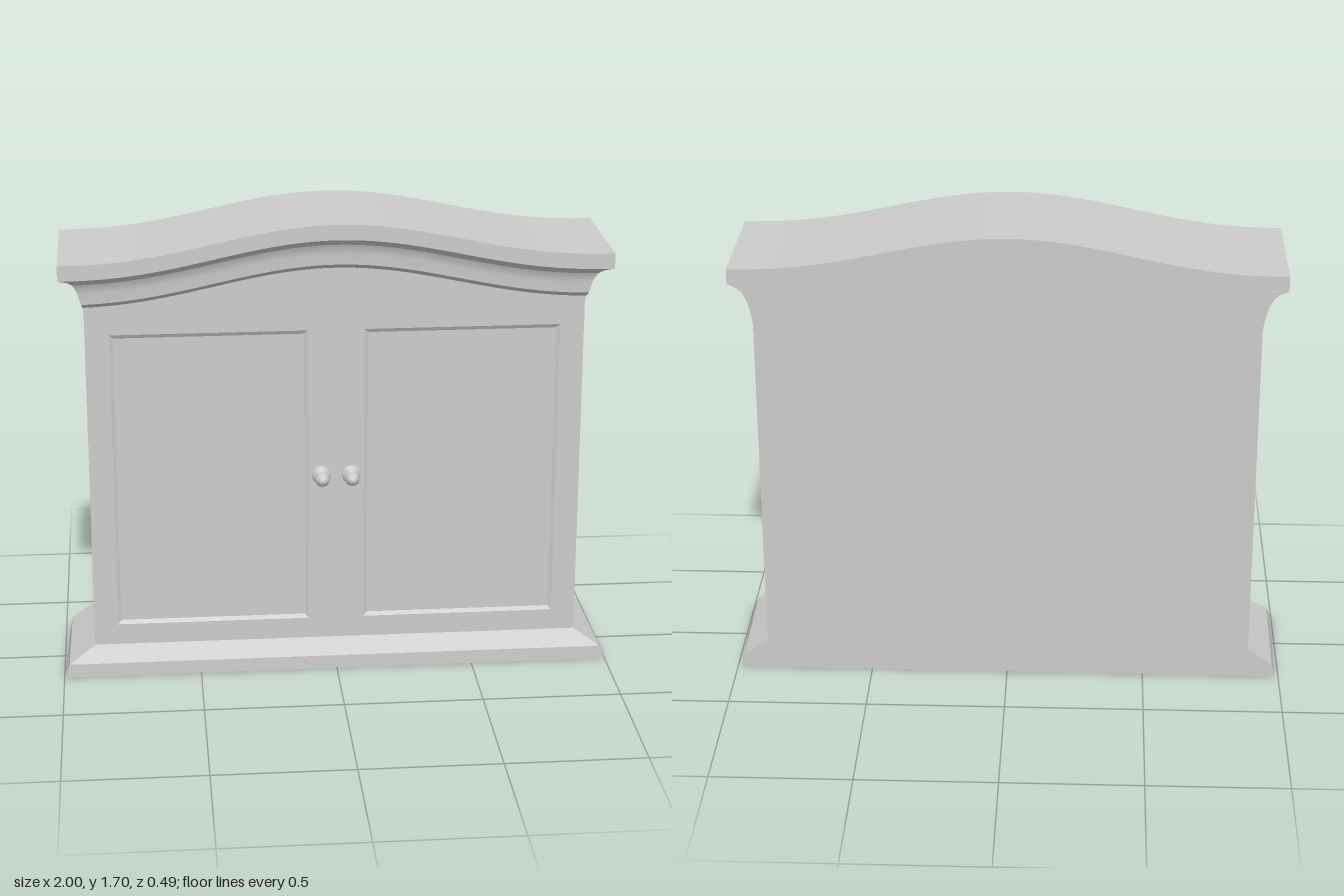
import * as THREE from 'three';
import { toCreasedNormals } from 'three/addons/utils/BufferGeometryUtils.js';

const BACK = -0.245, FRONT = 0.155, HALF = 0.885, CAP = 0.97, TOP = 1.575;
const material = new THREE.MeshStandardMaterial({ color: 0xcccccc });

// Bell-shaped rise of the arched top at a given x
function rise(x) {
  const t = Math.min(Math.abs(x) / CAP, 1);
  return 0.125 * Math.pow((1 + Math.cos(Math.PI * t)) / 2, 1.2);
}

function addMesh(parent, name, geometry) {
  const mesh = new THREE.Mesh(geometry, material);
  mesh.name = name;
  parent.add(mesh);
  return mesh;
}

// Skin over closed rings of [x, y, z] points
function loft(rings) {
  const n = rings[0].length, index = [];
  for (let r = 0; r < rings.length - 1; r++) {
    for (let i = 0; i < n; i++) {
      const j = (i + 1) % n, a = r * n, b = a + n;
      index.push(a + i, a + j, b + j, a + i, b + j, b + i);
    }
  }
  const g = new THREE.BufferGeometry();
  g.setAttribute('position', new THREE.Float32BufferAttribute(rings.flat(2), 3));
  g.setIndex(index);
  return toCreasedNormals(g, 0.35);
}

// Front outline with an arched top; bottom is flat or arched
function archShape(half, topOffset, bottomAt) {
  const shape = new THREE.Shape(), steps = 48;
  for (let i = 0; i <= steps; i++) {
    const x = -half + (2 * half * i) / steps;
    if (i === 0) shape.moveTo(x, bottomAt(x));
    else shape.lineTo(x, bottomAt(x));
  }
  for (let i = steps; i >= 0; i--) {
    const x = -half + (2 * half * i) / steps;
    shape.lineTo(x, TOP + topOffset + rise(x));
  }
  return shape;
}

function extrude(shape, z0, z1) {
  const g = new THREE.ExtrudeGeometry(shape, { depth: z1 - z0, bevelEnabled: false });
  return toCreasedNormals(g.translate(0, 0, z0), 0.35);
}

const rectRing = (x0, x1, y0, y1, z) => [[x0, y0, z], [x1, y0, z], [x1, y1, z], [x0, y1, z]];

export function createModel() {
  const group = new THREE.Group();
  group.name = 'wallCabinet';

  // Carcass behind the doors
  const bodyShape = () => archShape(HALF, -0.055, () => 0.11);
  addMesh(group, 'carcass', extrude(bodyShape(), BACK, 0.135));

  // Front face with an opening for each door panel
  const face = bodyShape();
  const y0 = 0.19, y1 = 1.295;
  for (const s of [-1, 1]) {
    const x0 = s < 0 ? -0.8 : 0.1, x1 = x0 + 0.7;
    const hole = new THREE.Path();
    hole.moveTo(x0, y0).lineTo(x0, y1).lineTo(x1, y1).lineTo(x1, y0).closePath();
    face.holes.push(hole);

    // Shallow recessed panel with bevelled edges
    const b = 0.014, z = FRONT - 0.008;
    const mid = [(x0 + x1) / 2, (y0 + y1) / 2, z];
    addMesh(group, s < 0 ? 'rightDoorPanel' : 'leftDoorPanel', loft([
      rectRing(x0, x1, y0, y1, FRONT),
      rectRing(x0 + b, x1 - b, y0 + b, y1 - b, z),
      [mid, mid, mid, mid],
    ]));
  }
  addMesh(group, 'doorFrames', extrude(face, 0.135, FRONT));

  // Splayed plinth: [y, half width at front, half width at back, front z]
  const plinth = [
    [0, 0, 0, BACK], [0, 1.0, 0.985, 0.19], [0.05, 0.98, 0.975, 0.188], [0.112, HALF, HALF, FRONT],
  ].map(([y, xf, xb, z]) => [[-xf, y, z], [xf, y, z], [xb, y, BACK], [-xb, y, BACK]]);
  addMesh(group, 'plinth', loft(plinth));

  // Cornice moulding: [side offset, front offset, height], bottom to top
  const profile = [
    [0, 0, -0.205], [0.003, 0, -0.178], [0.007, 0.032, -0.158], [0.018, 0.034, -0.118],
    [0.026, 0.037, -0.1], [0.036, 0.045, -0.083], [0.052, 0.06, -0.069], [0.085, 0.088, -0.055],
  ];
  const steps = 48;
  const cornice = profile.map(([side, front, h]) => {
    const half = HALF + side, ring = [[-half, TOP + h, BACK]];
    for (let i = 0; i <= steps; i++) {
      const x = -half + (2 * half * i) / steps;
      ring.push([x, TOP + h + rise(x), FRONT + front]);
    }
    ring.push([half, TOP + h, BACK]);
    return ring;
  });
  addMesh(group, 'corniceMoulding', loft(cornice));

  // Arched top board
  const board = archShape(CAP, 0, (x) => TOP - 0.055 + rise(x));
  addMesh(group, 'topBoard', extrude(board, BACK, 0.245));

  // Turned knobs: [radius, distance from the door]
  const knobProfile = [
    [0.034, 0], [0.034, 0.005], [0.026, 0.011], [0.013, 0.016], [0.011, 0.026], [0.018, 0.034],
    [0.025, 0.045], [0.026, 0.053], [0.022, 0.063], [0.015, 0.07], [0.013, 0.077], [0, 0.08],
  ].map(([r, d]) => new THREE.Vector2(r, d));
  for (const s of [-1, 1]) {
    const knob = addMesh(group, s < 0 ? 'rightKnob' : 'leftKnob', new THREE.LatheGeometry(knobProfile, 20));
    knob.rotation.x = Math.PI / 2;
    knob.position.set(s * 0.054, 0.75, FRONT);
  }

  return group;
}
